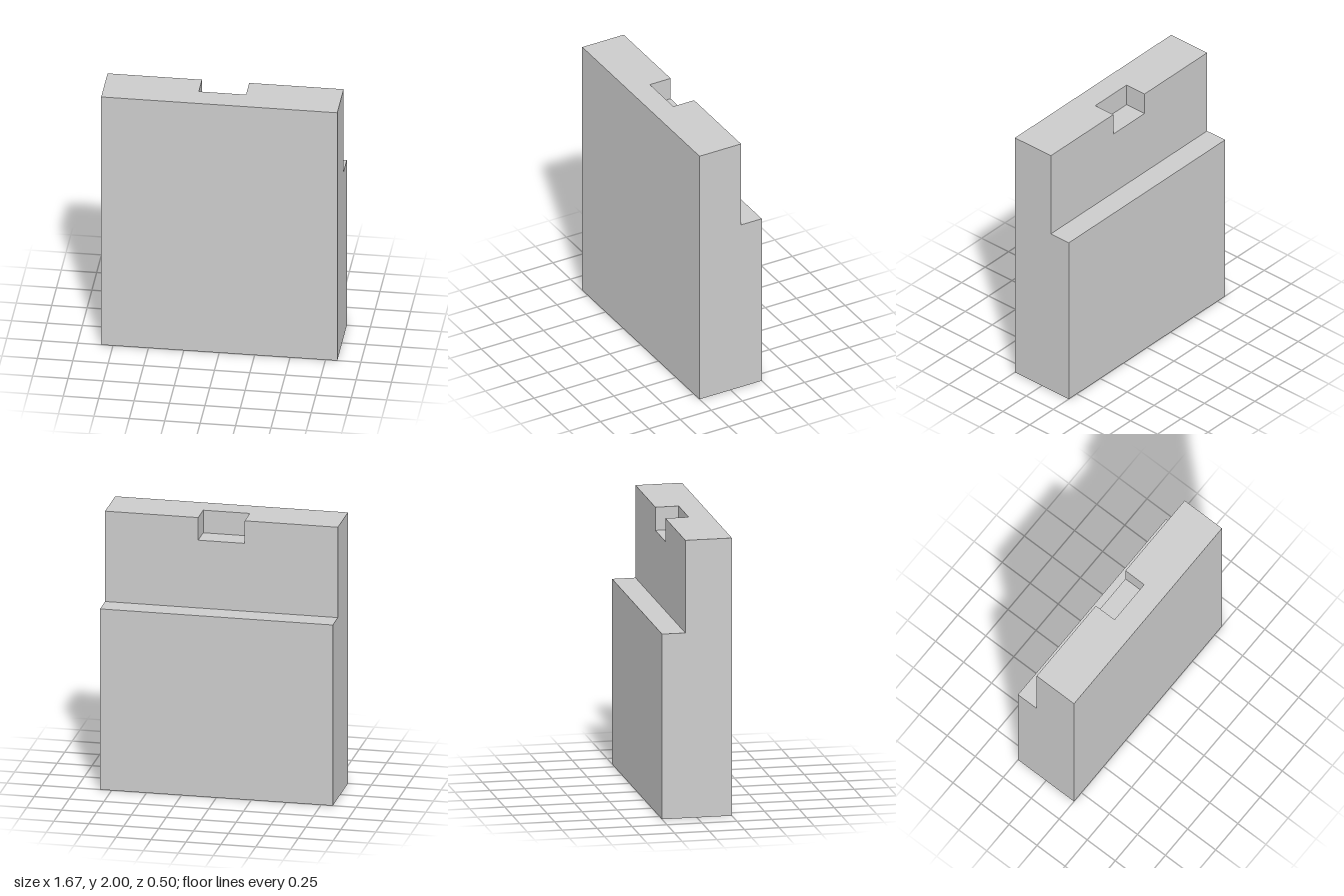
import * as THREE from 'three';

const HALF_W = 0.8333, TOP = 2, LEDGE = 1.3333;
const FRONT = 0.25, NOTCH_FRONT = 0.0833, STEP = -0.0833, BACK = -0.25;
const NOTCH_HALF = 0.1667, NOTCH_FLOOR = 1.8333;

export function createModel() {
  const group = new THREE.Group();
  group.name = 'steppedPanel';
  const material = new THREE.MeshStandardMaterial({ color: 0xcccccc, flatShading: true });

  // Extrudes an outline of [x, y] points from z0 forward to z1
  const addLayer = (name, outline, z0, z1) => {
    const shape = new THREE.Shape(outline.map(([x, y]) => new THREE.Vector2(x, y)));
    const geometry = new THREE.ExtrudeGeometry(shape, { depth: z1 - z0, bevelEnabled: false });
    const mesh = new THREE.Mesh(geometry.translate(0, 0, z0), material);
    mesh.name = name;
    group.add(mesh);
  };
  const rectangle = (h) => [[-HALF_W, 0], [HALF_W, 0], [HALF_W, h], [-HALF_W, h]];

  // Full-height plain front
  addLayer('frontPlate', rectangle(TOP), NOTCH_FRONT, FRONT);

  // Full-height core with the notch cut into its top edge
  addLayer('notchedCore', [
    [-HALF_W, 0], [HALF_W, 0], [HALF_W, TOP],
    [NOTCH_HALF, TOP], [NOTCH_HALF, NOTCH_FLOOR],
    [-NOTCH_HALF, NOTCH_FLOOR], [-NOTCH_HALF, TOP], [-HALF_W, TOP],
  ], STEP, NOTCH_FRONT);

  // Shorter back forming the ledge
  addLayer('backLedge', rectangle(LEDGE), BACK, STEP);

  return group;
}
